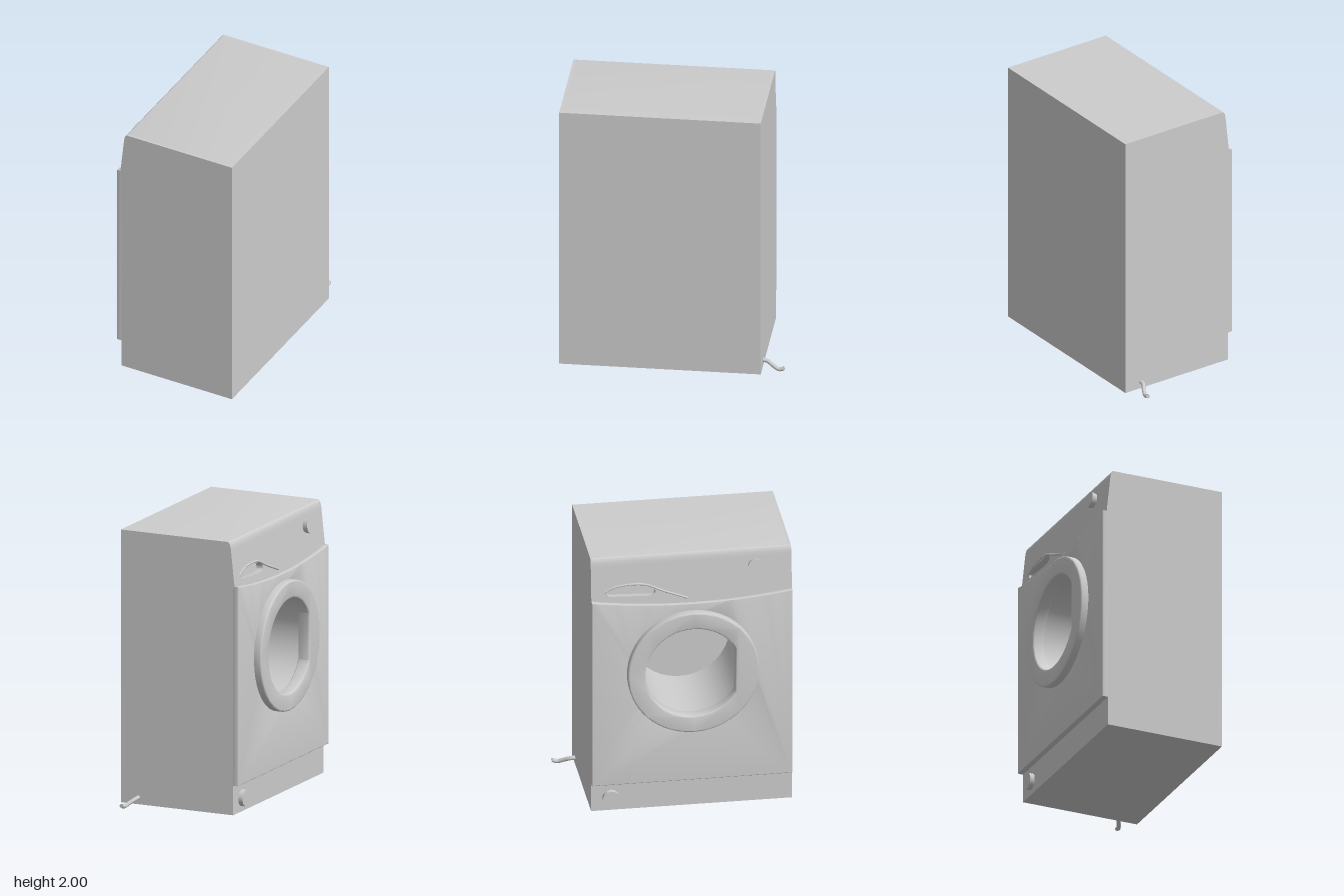
import * as THREE from 'three';
import { toCreasedNormals } from 'three/addons/utils/BufferGeometryUtils.js';

const Z0 = -0.64, Z1 = 0.80, ZC = 0.08, WALL = 0.02;

export function createModel() {
  const model = new THREE.Group();
  const grey = new THREE.MeshStandardMaterial({ color: 0xcccccc, side: THREE.DoubleSide });
  grey.name = 'light grey';

  const add = (name, geo, x = 0, y = 0, z = 0, parent = model) => {
    const mesh = new THREE.Mesh(geo, grey);
    mesh.name = name;
    mesh.position.set(x, y, z);
    parent.add(mesh);
    return mesh;
  };
  // box given by its min and max corners
  const slab = (name, a, b) => add(name,
    new THREE.BoxGeometry(b[0] - a[0], b[1] - a[1], b[2] - a[2]),
    (a[0] + b[0]) / 2, (a[1] + b[1]) / 2, (a[2] + b[2]) / 2);
  // outline drawn as (z, y), thickened towards -x, where the door is
  const facing = (shape, depth, bevel = 0) => {
    const geo = new THREE.ExtrudeGeometry(shape, {
      depth: depth - bevel, curveSegments: 32, bevelEnabled: bevel > 0,
      bevelSize: bevel, bevelThickness: bevel, bevelOffset: -bevel, bevelSegments: 3,
    });
    return toCreasedNormals(geo.rotateY(-Math.PI / 2), 0.6);
  };

  // cabinet: two profiled sides and flat walls between them
  const side = new THREE.Shape();
  side.moveTo(0.49, 0.01);
  side.lineTo(0.49, 2);
  side.lineTo(-0.355, 2);
  side.quadraticCurveTo(-0.377, 2, -0.383, 1.93);
  side.lineTo(-0.41, 1.68);
  side.lineTo(-0.40, 1.66);
  side.lineTo(-0.40, 0.01);
  const sideGeo = new THREE.ExtrudeGeometry(side, { depth: WALL, bevelEnabled: false });
  add('sidePanel', sideGeo, 0, 0, Z0);
  add('sidePanel', sideGeo, 0, 0, Z1 - WALL);
  const zIn = Z0 + WALL, zOut = Z1 - WALL;
  slab('backPanel', [0.47, 0.01, zIn], [0.49, 1.97, zOut]);
  slab('bottomPanel', [-0.38, 0.01, zIn], [0.47, 0.03, zOut]);
  slab('plinth', [-0.40, 0.01, zIn], [-0.38, 0.26, zOut]);

  // top with its rounded front edge
  const top = new THREE.Shape();
  top.moveTo(0.49, 2);
  top.lineTo(-0.355, 2);
  top.quadraticCurveTo(-0.377, 2, -0.383, 1.93);
  top.lineTo(-0.35, 1.93);
  top.lineTo(-0.33, 1.97);
  top.lineTo(0.49, 1.97);
  add('topPanel', toCreasedNormals(new THREE.ExtrudeGeometry(top, {
    depth: zOut - zIn, bevelEnabled: false, curveSegments: 10 }), 0.6), 0, 0, zIn);

  // front panel with sagging top edge and door opening
  const doorY = 1.10, doorZ = 0.083;
  const front = new THREE.Shape();
  front.moveTo(Z0, 0.225);
  front.lineTo(Z1, 0.225);
  front.lineTo(Z1, 1.68);
  front.quadraticCurveTo(ZC, 1.57, Z0, 1.68);
  const opening = new THREE.Path();
  opening.absarc(doorZ, doorY, 0.40, 0, Math.PI * 2);
  front.holes.push(opening);
  add('frontPanel', facing(front, 0.04, 0.006), -0.40);

  // door ring, its hole flattened on one side as a grip
  const ring = new THREE.Shape();
  ring.absarc(0, 0, 0.472, 0, Math.PI * 2);
  const hole = new THREE.Path();
  const grip = Math.acos(0.30 / 0.345);
  hole.absarc(0, 0, 0.345, grip, Math.PI * 2 - grip);
  hole.closePath();
  ring.holes.push(hole);
  add('doorRing', facing(ring, 0.08, 0.012), -0.415, doorY, doorZ);

  // deep drum behind the door
  add('drumWall', new THREE.CylinderGeometry(0.36, 0.36, 0.6, 48, 1, true).rotateZ(Math.PI / 2),
    -0.12, doorY, doorZ);
  add('drumBack', new THREE.CircleGeometry(0.36, 48).rotateY(-Math.PI / 2), 0.18, doorY, doorZ);

  // tilted control panel with drawer grip and dial
  const controls = new THREE.Group();
  controls.name = 'controlPanel';
  controls.position.set(-0.41, 1.68, 0);
  controls.rotation.z = -0.108;
  model.add(controls);
  const face = new THREE.Shape();
  face.moveTo(zIn, -0.1);
  face.lineTo(zOut, -0.1);
  face.lineTo(zOut, 0.255);
  face.lineTo(zIn, 0.255);
  const pocket = new THREE.Path();
  pocket.moveTo(-0.49, 0.025);
  pocket.lineTo(-0.23, 0.015);
  pocket.quadraticCurveTo(-0.17, 0.02, -0.18, 0.055);
  pocket.quadraticCurveTo(-0.19, 0.09, -0.25, 0.09);
  pocket.lineTo(-0.46, 0.085);
  pocket.quadraticCurveTo(-0.53, 0.075, -0.525, 0.05);
  pocket.quadraticCurveTo(-0.52, 0.025, -0.49, 0.025);
  face.holes.push(pocket);
  add('controlFace', facing(face, 0.05), 0.05, 0, 0, controls);
  add('drawerPocketFloor', new THREE.BoxGeometry(0.01, 0.12, 0.42), 0.055, 0.05, -0.35, controls);
  const lip = new THREE.CatmullRomCurve3([
    [-0.55, 0.06], [-0.46, 0.098], [-0.26, 0.103], [-0.12, 0.045], [0.05, -0.02],
  ].map(([z, y]) => new THREE.Vector3(0, y, z)));
  add('drawerLip', new THREE.TubeGeometry(lip, 40, 0.008, 8), 0, 0, 0, controls);
  add('dial', new THREE.CylinderGeometry(0.058, 0.052, 0.04, 32).rotateZ(Math.PI / 2),
    -0.018, 0.19, 0.54, controls);

  // drain filter cap in the plinth
  add('filterCap', new THREE.CylinderGeometry(0.06, 0.06, 0.04, 32).rotateZ(Math.PI / 2),
    -0.415, 0.11, -0.50);

  // hose leaving the back corner
  const hose = new THREE.CatmullRomCurve3([
    [0.352, 0.06, -0.62], [0.357, 0.055, -0.67], [0.385, 0.032, -0.72],
    [0.402, 0.016, -0.76], [0.407, 0.026, -0.797],
  ].map(p => new THREE.Vector3(...p)));
  add('hose', new THREE.TubeGeometry(hose, 24, 0.015, 12), 0, 0, 0);
  add('hoseEnd', new THREE.CircleGeometry(0.015, 12).rotateY(Math.PI), 0.407, 0.026, -0.797);

  return model;
}
